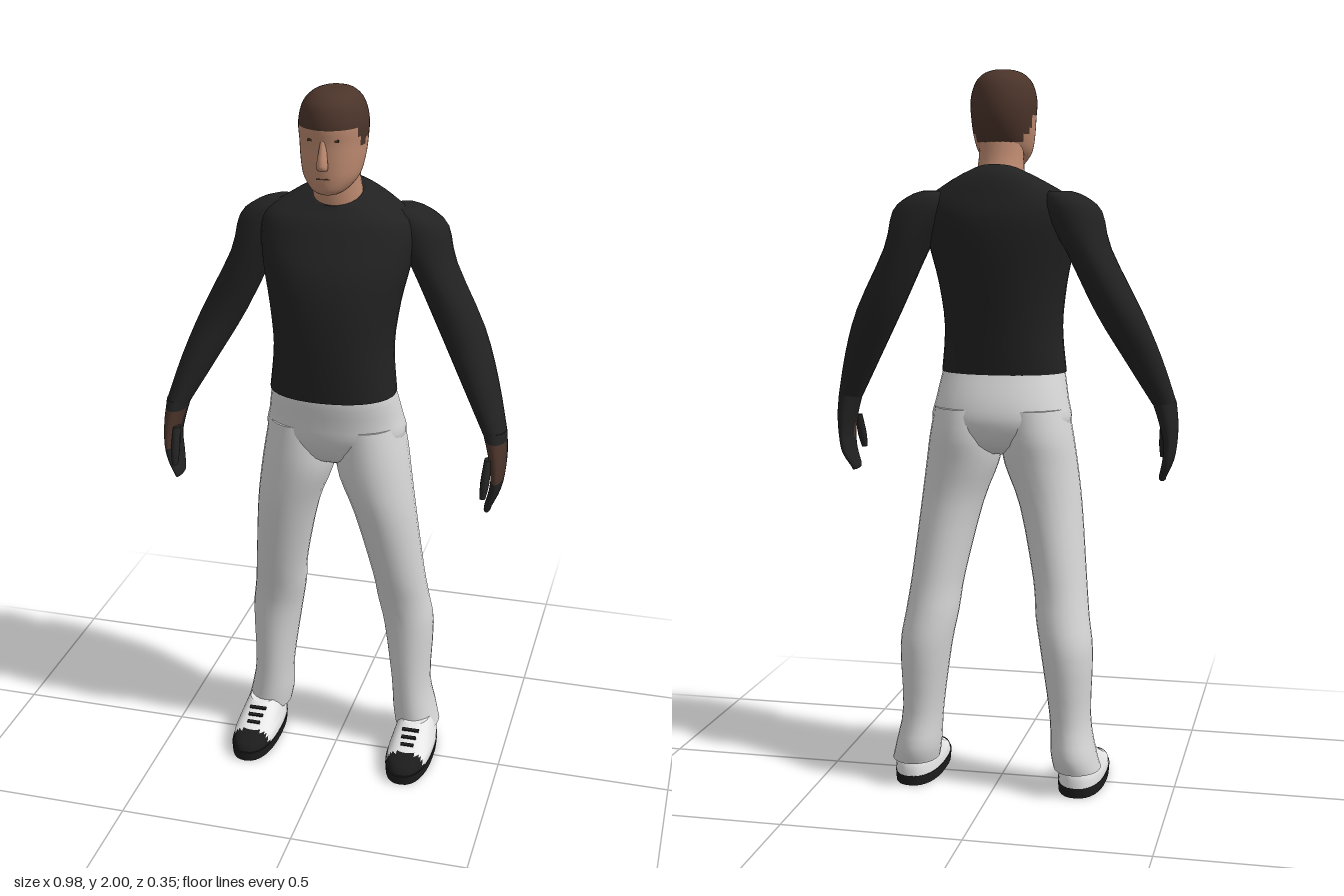
import * as THREE from 'three';

const mat = (name, color) => Object.assign(new THREE.MeshStandardMaterial({ color }), { name });
const shirt = mat('black cloth', 0x222222);
const pants = mat('light grey cloth', 0xd6d6d6);
const skin = mat('skin', 0xbd8a70);
const hair = mat('dark brown', 0x4b342a);
const white = mat('white leather', 0xf0f0f0);
const black = mat('black rubber', 0x1c1c1c);

// Smooth interpolation of one ring component
function spline(a, b, c, d, t) {
  return 0.5 * (2 * b + (c - a) * t + (2 * a - 5 * b + 4 * c - d) * t * t + (3 * b - a - 3 * c + d) * t ** 3);
}

// Closed skin over rings listed from top to bottom: [y, xA, xB, zFront, zBack, tilt]
// pick(x, y, z) chooses the material index of each face
function loft(name, rings, materials, { s = 1, sides = 24, steps = 3, power = 2, pick = () => 0 } = {}) {
  const rows = [];
  const at = (i) => rings[Math.max(0, Math.min(rings.length - 1, i))];
  for (let i = 0; i < rings.length - 1; i++) {
    for (let k = 0; k < steps; k++) {
      rows.push([0, 1, 2, 3, 4, 5].map((c) =>
        spline(at(i - 1)[c] || 0, at(i)[c] || 0, at(i + 1)[c] || 0, at(i + 2)[c] || 0, k / steps)));
    }
  }
  rows.push(at(rings.length));
  const first = rows[0], last = rows[rows.length - 1];
  const all = [[first, 0], [first, 1], ...rows.map((r) => [r, 1]), [last, 1], [last, 0]];

  const pos = [];
  for (const [[y, xa, xb, zf, zb, tilt = 0], scale] of all) {
    const rx = Math.abs(xb - xa) / 2 * scale, rz = (zf - zb) / 2 * scale;
    for (let j = 0; j < sides; j++) {
      const a = (j / sides) * Math.PI * 2, c = Math.cos(a), n = Math.sin(a);
      const x = s * (xa + xb) / 2 + rx * Math.sign(c) * Math.abs(c) ** (2 / power);
      const z = (zf + zb) / 2 + rz * Math.sign(n) * Math.abs(n) ** (2 / power);
      pos.push(x, y + tilt * z, z);
    }
  }
  const buckets = materials.map(() => []);
  for (let i = 0; i < all.length - 1; i++) {
    for (let j = 0; j < sides; j++) {
      const a = i * sides + j, b = i * sides + (j + 1) % sides, c = a + sides, d = b + sides;
      const mid = [0, 1, 2].map((k) => (pos[a * 3 + k] + pos[b * 3 + k] + pos[c * 3 + k] + pos[d * 3 + k]) / 4);
      buckets[pick(...mid)].push(a, b, c, b, d, c);
    }
  }
  const geo = new THREE.BufferGeometry();
  geo.setAttribute('position', new THREE.Float32BufferAttribute(pos, 3));
  geo.setIndex(buckets.flat());
  let start = 0;
  buckets.forEach((bk, i) => { geo.addGroup(start, bk.length, i); start += bk.length; });
  geo.computeVertexNormals();
  const mesh = new THREE.Mesh(geo, materials);
  mesh.name = name;
  return mesh;
}

function plate(name, w, h, d, x, y, z, material, tilt = 0) {
  const m = new THREE.Mesh(new THREE.BoxGeometry(w, h, d), material);
  m.position.set(x, y, z);
  m.rotation.x = tilt;
  m.name = name;
  return m;
}

// Symmetric ring
const sym = (y, w, zf, zb, tilt = 0) => [y, -w, w, zf, zb, tilt];

// Lower edge of the hair, by depth along the head
function hairline(z) {
  if (z > 0.085) return 1.915;
  if (z > 0.06) return 1.89;
  if (z > 0.03) return 1.86;
  if (z > -0.01) return 1.88;
  return z > -0.03 ? 1.83 : 1.805;
}

function makeHead() {
  const head = new THREE.Group();
  head.name = 'head';
  head.add(loft('skullAndHair', [
    sym(2.0, 0.03, 0.06, -0.02), sym(1.99, 0.055, 0.1, -0.055), sym(1.965, 0.078, 0.13, -0.083),
    sym(1.92, 0.09, 0.142, -0.097), sym(1.87, 0.088, 0.137, -0.095), sym(1.82, 0.083, 0.135, -0.075),
    sym(1.78, 0.073, 0.132, -0.045), sym(1.75, 0.05, 0.125, 0), sym(1.738, 0.03, 0.11, 0.04),
  ], [skin, hair], { sides: 48, steps: 6, pick: (x, y, z) => (y > hairline(z) ? 1 : 0) }));
  head.add(loft('neck', [
    sym(1.83, 0.06, 0.05, -0.065), sym(1.76, 0.062, 0.05, -0.075),
    sym(1.7, 0.068, 0.048, -0.1), sym(1.65, 0.068, 0.04, -0.11),
  ], [skin]));
  head.add(loft('nose', [
    sym(1.885, 0.007, 0.14, 0.12), sym(1.825, 0.015, 0.163, 0.12), sym(1.81, 0.013, 0.152, 0.12),
  ], [skin], { sides: 10 }));
  for (const s of [-1, 1]) head.add(plate('eye', 0.016, 0.006, 0.008, s * 0.032, 1.885, 0.128, hair));
  head.add(plate('mouth', 0.036, 0.003, 0.008, 0, 1.785, 0.129, hair));
  return head;
}

function makeArm(s) {
  const arm = new THREE.Group();
  arm.name = s > 0 ? 'leftArm' : 'rightArm';
  arm.add(loft('sleeve', [
    [1.675, 0.14, 0.205, -0.03, -0.12], [1.66, 0.13, 0.245, -0.01, -0.14], [1.62, 0.13, 0.29, 0.005, -0.153],
    [1.52, 0.19, 0.315, 0.015, -0.157], [1.35, 0.272, 0.4, 0.015, -0.13],
    [1.22, 0.345, 0.45, 0.045, -0.075], [1.09, 0.42, 0.487, 0.08, -0.015],
  ], [shirt], { s, sides: 20 }));
  // Gloved hand with an open patch at the front
  arm.add(loft('hand', [
    [1.1, 0.418, 0.485, 0.078, -0.017], [1.04, 0.437, 0.49, 0.095, -0.02], [0.98, 0.45, 0.487, 0.105, -0.015],
    [0.93, 0.447, 0.478, 0.103, -0.01], [0.885, 0.437, 0.458, 0.098, 0.02], [0.875, 0.44, 0.455, 0.09, 0.03],
  ], [shirt, hair], { s, sides: 32, steps: 4, pick: (x, y, z) => (y > 0.97 && y < 1.08 && z > 0.048 ? 1 : 0) }));
  arm.add(loft('thumb', [
    [1.03, 0.435, 0.455, 0.095, 0.065], [0.97, 0.43, 0.455, 0.122, 0.088], [0.93, 0.432, 0.448, 0.13, 0.108],
  ], [shirt], { s, sides: 10 }));
  return arm;
}

function makeLeg(s) {
  const leg = new THREE.Group();
  leg.name = s > 0 ? 'leftLeg' : 'rightLeg';
  leg.add(loft('trouserLeg', [
    [1.08, 0, 0.188, 0.12, -0.13], [1.0, 0, 0.203, 0.122, -0.135], [0.92, 0.01, 0.215, 0.118, -0.123],
    [0.8, 0.055, 0.23, 0.1, -0.115], [0.6, 0.1, 0.25, 0.05, -0.135], [0.5, 0.112, 0.262, 0.02, -0.155],
    [0.4, 0.13, 0.275, 0.005, -0.17], [0.22, 0.155, 0.27, 0, -0.158],
    [0.12, 0.16, 0.287, 0, -0.175], [0.07, 0.168, 0.3, 0, -0.165],
  ], [pants], { s }));
  leg.add(loft('sole', [
    [0.028, 0.17, 0.305, 0.176, -0.15], [0, 0.172, 0.303, 0.174, -0.148],
  ], [black], { s, sides: 32, steps: 1, power: 2.4 }));
  // Upper with a black toe cap
  leg.add(loft('shoeUpper', [
    [0.108, 0.195, 0.28, 0.015, -0.12], [0.085, 0.185, 0.29, 0.06, -0.135], [0.06, 0.178, 0.298, 0.12, -0.145],
    [0.045, 0.174, 0.302, 0.158, -0.148], [0.026, 0.172, 0.303, 0.172, -0.149],
  ], [white, black], { s, sides: 48, steps: 4, power: 2.4, pick: (x, y, z) => (z > 0.105 ? 1 : 0) }));
  for (let i = 0; i < 3; i++) {
    leg.add(plate('lace', 0.05 - i * 0.006, 0.006, 0.009, s * 0.2375, 0.1 - i * 0.011, 0.035 + i * 0.023, black, 0.46));
  }
  return leg;
}

export function createModel() {
  const man = new THREE.Group();
  man.name = 'standingMan';
  man.add(makeHead());
  man.add(loft('shirtBody', [
    sym(1.71, 0.072, 0.05, -0.107, -0.34), sym(1.69, 0.13, 0.06, -0.137, -0.2), sym(1.655, 0.2, 0.08, -0.156),
    sym(1.6, 0.213, 0.11, -0.166), sym(1.52, 0.2, 0.148, -0.16), sym(1.42, 0.178, 0.165, -0.143),
    sym(1.3, 0.165, 0.165, -0.12), sym(1.175, 0.176, 0.156, -0.1),
  ], [shirt], { sides: 32, power: 2.2 }));
  man.add(loft('trouserSeat', [
    sym(1.2, 0.165, 0.14, -0.09), sym(1.17, 0.174, 0.146, -0.102), sym(1.1, 0.187, 0.135, -0.13),
    sym(1.04, 0.196, 0.125, -0.138), sym(0.98, 0.15, 0.09, -0.11), sym(0.95, 0.04, 0.04, -0.06),
  ], [pants], { sides: 32, power: 2.2 }));
  for (const s of [-1, 1]) man.add(makeArm(s), makeLeg(s));
  return man;
}
